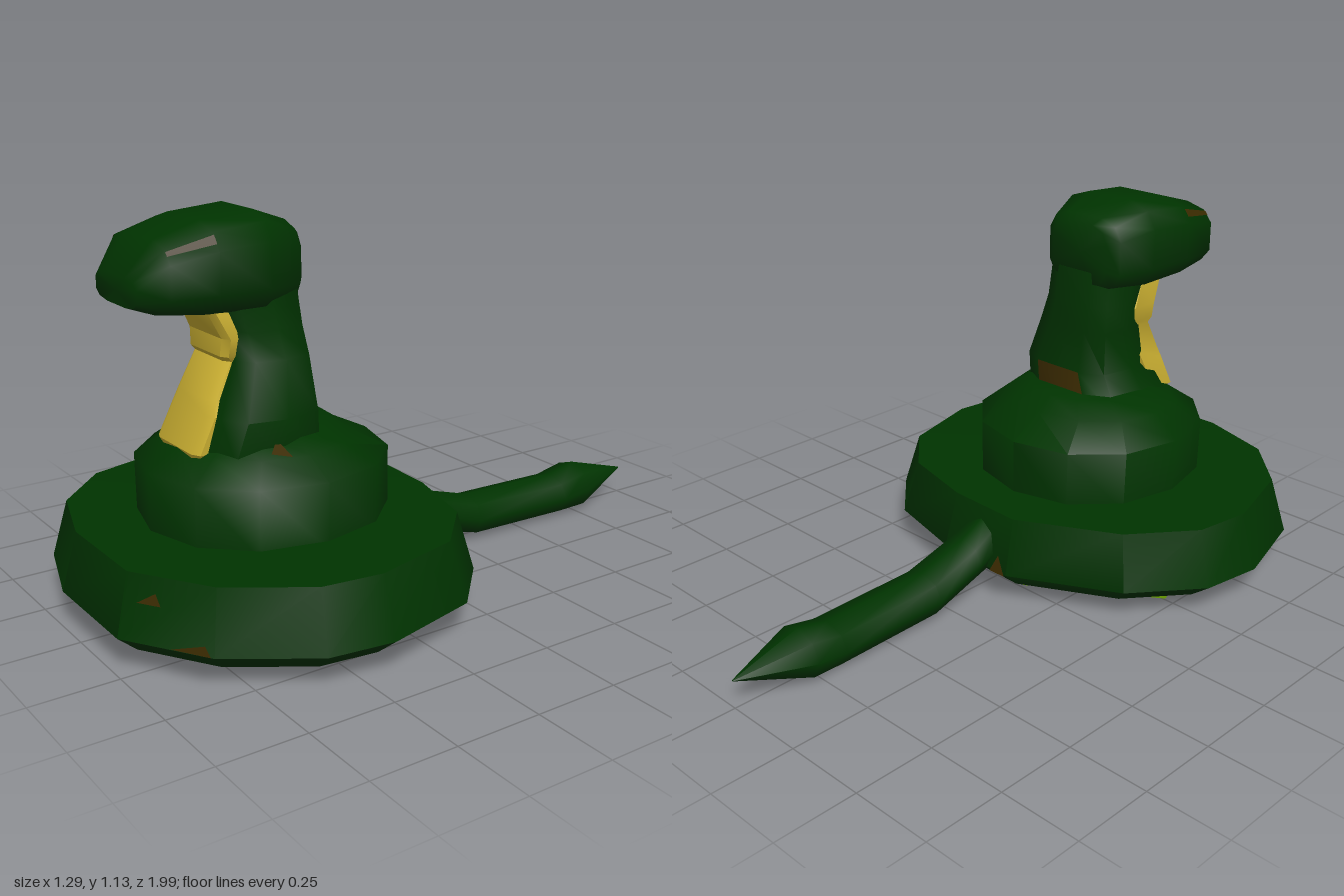
import * as THREE from 'three';
import { toCreasedNormals } from 'three/addons/utils/BufferGeometryUtils.js';

const material = (name, color, side = THREE.FrontSide) => {
  const m = new THREE.MeshStandardMaterial({ color, side });
  m.name = name;
  return m;
};

// Ring of n points on a squared-off ellipse; p = 1 is round, smaller is boxier.
function oval(n, cx, cy, rx, ry, p, map, turn = 0) {
  const bend = v => Math.sign(v) * Math.pow(Math.abs(v), p);
  return Array.from({ length: n }, (_, i) => {
    const a = ((i + turn) / n) * Math.PI * 2;
    return map(cx + rx * bend(Math.cos(a)), cy + ry * bend(Math.sin(a)));
  });
}

// Skin over a stack of rings with both ends closed; paint(row, column) picks a material.
function loft(rings, paint = () => 0, crease = 1.1) {
  const n = rings[0].length;
  const points = rings.flat();
  const centre = ring => [0, 1, 2].map(k => ring.reduce((s, p) => s + p[k], 0) / n);
  const first = points.length, last = first + 1;
  points.push(centre(rings[0]), centre(rings[rings.length - 1]));
  const faces = [[], []];
  for (let j = 0; j < n; j++) {
    const k = (j + 1) % n, end = (rings.length - 1) * n;
    faces[0].push(first, k, j, last, end + j, end + k);
    for (let i = 0; i < rings.length - 1; i++) {
      const a = i * n + j, b = i * n + k;
      faces[paint(i, j)].push(a, b, b + n, a, b + n, a + n);
    }
  }
  const index = faces.flat();
  // Turn the skin outward if it came out inside out.
  const v = points.map(p => new THREE.Vector3(...p));
  let volume = 0;
  for (let i = 0; i < index.length; i += 3) {
    volume += v[index[i]].dot(v[index[i + 1]].clone().cross(v[index[i + 2]]));
  }
  if (volume < 0) {
    for (let i = 0; i < index.length; i += 3) [index[i], index[i + 1]] = [index[i + 1], index[i]];
  }
  const geometry = new THREE.BufferGeometry().setFromPoints(v);
  geometry.setIndex(index);
  geometry.addGroup(0, faces[0].length, 0);
  if (faces[1].length) geometry.addGroup(faces[0].length, faces[1].length, 1);
  return toCreasedNormals(geometry, crease);
}

// Thin painted patch: a fan of triangles through a few points, wound outward.
function patch(points) {
  const geometry = new THREE.BufferGeometry().setFromPoints(points.map(p => new THREE.Vector3(...p)));
  const index = [];
  for (let i = 1; i < points.length - 1; i++) index.push(0, i, i + 1);
  geometry.setIndex(index);
  geometry.computeVertexNormals();
  return geometry;
}

export function createModel() {
  const green = material('dark green scales', 0x003300);
  const yellow = material('yellow belly', 0xcbb032);
  const olive = material('olive underside', 0x5e9000, THREE.DoubleSide);
  const brown = material('brown patches', 0x3a2a00, THREE.DoubleSide);
  const model = new THREE.Group();
  model.name = 'coiledSnake';
  const add = (name, geometry, mat) => {
    const mesh = new THREE.Mesh(geometry, mat);
    mesh.name = name;
    model.add(mesh);
    return mesh;
  };
  const level = y => (x, z) => [x, y, z];
  const upright = z => (x, y) => [x, y, z];

  // Wide bottom coil, from one uneven outline
  const outline = [
    [-0.14, -0.11], [-0.46, 0.06], [-0.62, 0.26], [-0.65, 0.45], [-0.57, 0.73],
    [-0.39, 0.91], [-0.13, 0.99], [0.22, 0.99], [0.46, 0.84], [0.62, 0.61],
    [0.645, 0.42], [0.57, 0.13], [0.4, -0.03], [0.13, -0.1],
  ];
  const coil = [[0.04, 0.88], [0.1, 1], [0.27, 0.92], [0.275, 0.5]].map(([y, s]) =>
    outline.map(([x, z]) => [x * s, y, 0.44 + (z - 0.44) * s]));
  add('bottomCoil', loft(coil), [green]);

  // Small brown spots on the bottom coil and by the foot of the neck
  [
    [[0.36, 0.105, 0.91], [0.46, 0.105, 0.85], [0.44, 0.13, 0.855]],
    [[0.25, 0.2, 0.945], [0.31, 0.2, 0.908], [0.29, 0.23, 0.911]],
    [[-0.08, 0.1, -0.117], [-0.14, 0.1, -0.117], [-0.1, 0.15, -0.1]],
    [[0.25, 0.515, 0.54], [0.275, 0.505, 0.49], [0.21, 0.538, 0.5]],
  ].forEach(spot => add('spot', patch(spot), brown));

  // Pale patch under the coil
  const underShape = new THREE.Shape([
    [0.34, 0.11], [-0.14, -0.03], [-0.5, 0.21], [-0.34, 0.75],
    [0.02, 0.35], [-0.05, 0.72], [0.32, 0.79], [0.11, 0.31],
  ].map(([x, z]) => new THREE.Vector2(x, z)));
  const underside = add('underside', new THREE.ShapeGeometry(underShape), olive);
  underside.rotation.x = Math.PI / 2;
  underside.position.y = 0.036;

  // Upper coil: y, centre x, centre z, radius x, radius z
  const upper = [
    [0.25, 0, 0.425, 0.345, 0.355], [0.44, 0, 0.425, 0.35, 0.355],
    [0.5, 0.01, 0.44, 0.27, 0.25], [0.54, 0.02, 0.43, 0.19, 0.18],
  ].map(([y, cx, cz, rx, rz]) => oval(12, cx, cz, rx, rz, 0.95, level(y)));
  add('upperCoil', loft(upper), [green]);

  // Neck, leaning out to the left low down: y, left x, right x, back z, front z
  const neck = [
    [0.48, -0.2, 0.22, 0.3, 0.67], [0.6, -0.12, 0.245, 0.33, 0.635],
    [0.74, -0.13, 0.175, 0.325, 0.56], [0.82, -0.13, 0.15, 0.33, 0.57],
    [0.93, -0.13, 0.145, 0.34, 0.6],
  ].map(([y, x0, x1, z0, z1]) =>
    oval(10, (x0 + x1) / 2, (z0 + z1) / 2, (x1 - x0) / 2, (z1 - z0) / 2, 0.65, level(y)));
  add('neck', loft(neck, (i, j) => (i === 0 && j === 7 ? 1 : 0)), [green, brown]);

  // Ribbed belly plate down the front of the neck: y, left x, right x, front z
  const belly = [
    [0.485, -0.11, 0.11, 0.69], [0.5, -0.13, 0.12, 0.695], [0.6, -0.12, 0.125, 0.65],
    [0.64, -0.11, 0.105, 0.635], [0.735, -0.115, 0.09, 0.578], [0.75, -0.12, 0.1, 0.59],
    [0.8, -0.13, 0.11, 0.587], [0.88, -0.12, 0.095, 0.625],
  ].map(([y, x0, x1, z]) =>
    oval(8, (x0 + x1) / 2, z - 0.06, (x1 - x0) / 2, 0.06, 0.3, level(y), 0.5));
  add('belly', loft(belly, undefined, 0.5), [yellow]);

  // Head, from the nape to the snout: z, bottom y, top y, half width
  const head = [
    [0.345, 0.89, 1.08, 0.11], [0.37, 0.87, 1.1, 0.145], [0.48, 0.86, 1.14, 0.185],
    [0.64, 0.87, 1.125, 0.2], [0.77, 0.885, 1.085, 0.18], [0.84, 0.91, 0.99, 0.125],
  ].map(([z, y0, y1, w]) =>
    oval(12, -0.008, (y0 + y1) / 2, w, (y1 - y0) / 2, 0.6, upright(z), 0.5));
  add('head', loft(head), [green]);

  // Narrow slanted eyes on the upper cheeks
  for (const side of [-1, 1]) {
    const eye = [
      [0.184, 1.074, 0.64], [0.161, 1.052, 0.77], [0.152, 1.063, 0.77], [0.168, 1.096, 0.64],
    ].map(([x, y, z]) => [side * x - 0.008, y, z]);
    add(side > 0 ? 'leftEye' : 'rightEye', patch(side > 0 ? eye : eye.reverse()), brown);
  }

  // Tail reaching straight back to a point: z, bottom y, top y, half width
  const tail = [
    [0.08, 0.13, 0.27, 0.03], [-0.05, 0.08, 0.24, 0.07], [-0.15, 0.06, 0.19, 0.08],
    [-0.32, 0.008, 0.14, 0.085], [-0.68, 0.003, 0.132, 0.088],
    [-0.78, 0.003, 0.155, 0.09], [-1, 0.088, 0.092, 0.003],
  ].map(([z, y0, y1, w]) =>
    oval(8, 0, (y0 + y1) / 2, w, (y1 - y0) / 2, 1, upright(z)));
  add('tail', loft(tail), [green]);

  return model;
}
